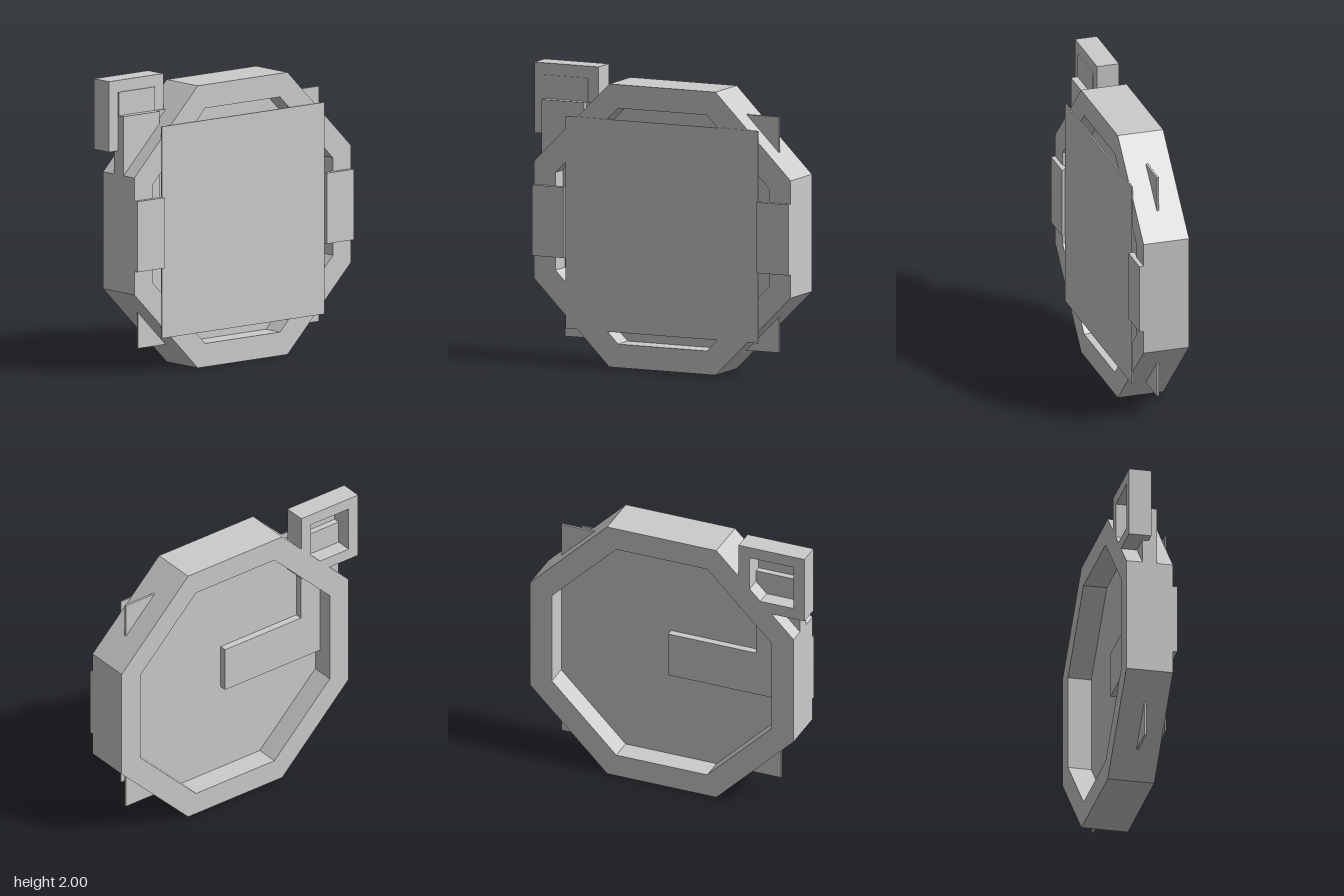
import * as THREE from 'three';

const metal = new THREE.MeshStandardMaterial({ color: 0xcccccc });
metal.name = 'plain grey';

// Box given by its extents along each axis
function box(name, [x0, x1], [y0, y1], [z0, z1]) {
  const mesh = new THREE.Mesh(new THREE.BoxGeometry(x1 - x0, y1 - y0, z1 - z0), metal);
  mesh.name = name;
  mesh.position.set((x0 + x1) / 2, (y0 + y1) / 2, (z0 + z1) / 2);
  return mesh;
}

// Regular polygon corners with flat top and sides
function polygon(sides, apothem) {
  const radius = apothem / Math.cos(Math.PI / sides);
  return Array.from({ length: sides }, (_, i) => {
    const a = ((i + 0.5) / sides) * Math.PI * 2;
    return new THREE.Vector2(Math.cos(a) * radius, Math.sin(a) * radius);
  });
}

// Polygonal frame with a hole, extruded along x and centred on (y, z)
function frame(name, sides, outer, inner, [x0, x1], y, z) {
  const shape = new THREE.Shape(polygon(sides, outer));
  shape.holes.push(new THREE.Path(polygon(sides, inner).reverse()));
  const geometry = new THREE.ExtrudeGeometry(shape, { depth: x1 - x0, bevelEnabled: false });
  geometry.rotateY(Math.PI / 2);
  const mesh = new THREE.Mesh(geometry, metal);
  mesh.name = name;
  mesh.position.set(x0, y, z);
  return mesh;
}

export function createModel() {
  const model = new THREE.Group();
  model.name = 'pocketWatch';
  const cy = 0.96, cz = -0.04;

  // Octagonal case, inner dial whose corners poke out, and back cover
  model.add(frame('caseRing', 8, 0.96, 0.8, [-0.18, 0.14], cy, cz));
  model.add(box('dial', [-0.02, -0.005], [0.16, 1.76], [-0.84, 0.76]));
  model.add(box('backCover', [0.138, 0.148], [0.24, 1.68], [-0.76, 0.68]));

  // Clips on both sides of the back cover
  for (const side of [-1, 1]) {
    const z = cz + side * 0.84;
    model.add(box('clip', [0.13, 0.17], [0.72, 1.2], [z - 0.12, z + 0.12]));
  }

  // Hands: one runs out from the centre, the other rises through the rim
  model.add(box('horizontalHand', [-0.07, 0.03], [0.8, 1.12], [-0.04, 0.6]));
  model.add(box('verticalHand', [-0.07, 0.03], [0.8, 1.76], [0.6, 0.92]));

  // Square bow with its thin backing plate
  model.add(frame('bow', 4, 0.24, 0.16, [-0.18, -0.026], 1.76, 0.76));
  model.add(box('bowPlate', [-0.026, -0.018], [1.6, 1.92], [0.6, 0.92]));

  return model;
}
